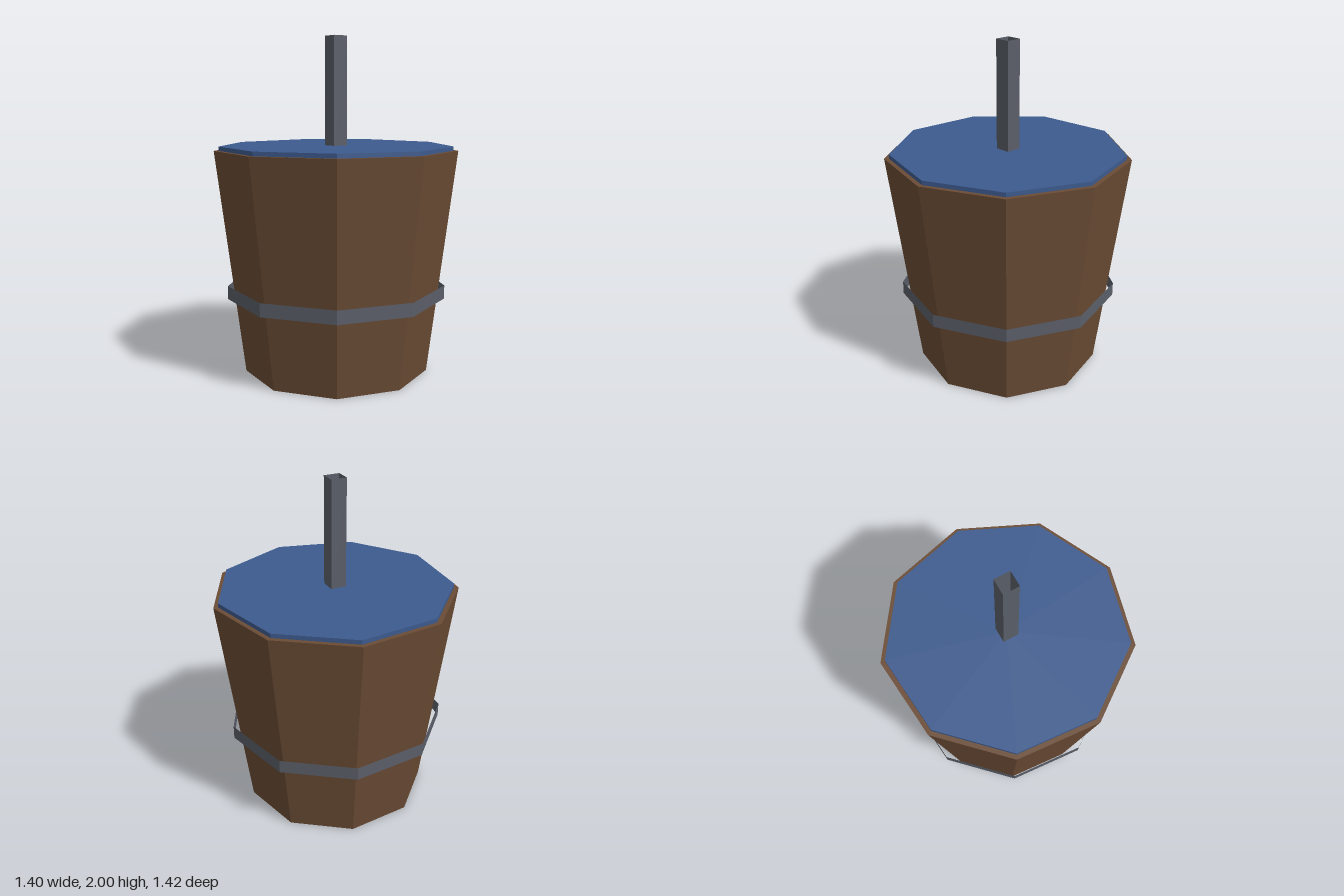
import * as THREE from 'three';

export function createModel() {
  const group = new THREE.Group();
  const material = (name, color, side = THREE.FrontSide) => {
    const m = new THREE.MeshStandardMaterial({ color, side, flatShading: true });
    m.name = name;
    return m;
  };
  const wood = material('brown wood', 0x6b4c35);
  const metal = material('grey metal', 0x5a5e68, THREE.DoubleSide);
  const paint = material('blue', 0x3d5b8e);

  // Upright prism or tapered tube between two heights, with one corner on +x
  const axisX = -0.022;
  function addPrism(name, mat, sides, rTop, rBottom, y0, y1, open = false) {
    const geometry = new THREE.CylinderGeometry(rTop, rBottom, y1 - y0, sides, 1, open, Math.PI / 2);
    const mesh = new THREE.Mesh(geometry, mat);
    mesh.name = name;
    mesh.position.set(axisX, (y0 + y1) / 2, 0);
    group.add(mesh);
  }

  // Tapered nine-sided tub
  addPrism('tub', wood, 9, 0.721, 0.554, 0, 1.335);
  // Lid set in from the rim
  addPrism('lid', paint, 9, 0.693, 0.693, 1.325, 1.36);
  // Loose sheet hoop around the tub
  addPrism('hoop', metal, 9, 0.655, 0.655, 0.45, 0.53, true);
  // Hollow square handle
  addPrism('handle', metal, 4, 0.066, 0.066, 1.34, 2, true);

  return group;
}
